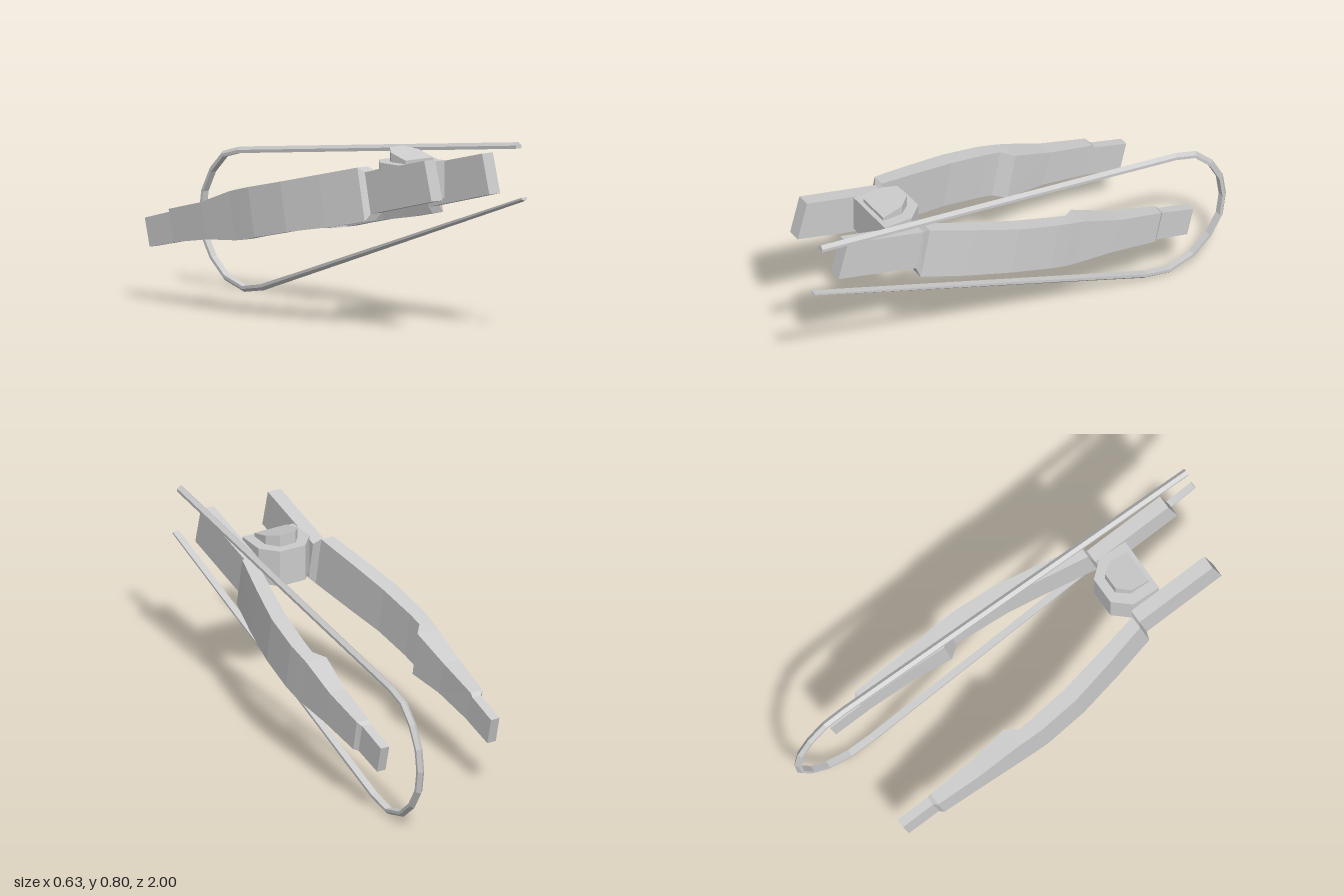
import * as THREE from 'three';

const material = new THREE.MeshStandardMaterial({ color: 0xcccccc, flatShading: true });

// Closed solid through a list of rings (each a list of [x, y, z] corners)
function loft(rings) {
  const tris = [];
  const n = rings[0].length;
  for (let i = 0; i < rings.length - 1; i++) {
    for (let j = 0; j < n; j++) {
      const k = (j + 1) % n;
      const a = rings[i][j], b = rings[i][k], c = rings[i + 1][k], d = rings[i + 1][j];
      tris.push([a, b, c], [a, c, d]);
    }
  }
  const first = rings[0], last = rings[rings.length - 1];
  for (let j = 1; j < n - 1; j++) {
    tris.push([first[0], first[j + 1], first[j]], [last[0], last[j], last[j + 1]]);
  }
  // Turn the faces outward if the rings run the other way
  const v = (p) => new THREE.Vector3(...p);
  const volume = tris.reduce((s, [a, b, c]) => s + v(a).dot(v(b).cross(v(c))), 0);
  if (volume < 0) tris.forEach((t) => t.reverse());
  const geometry = new THREE.BufferGeometry();
  geometry.setAttribute('position', new THREE.Float32BufferAttribute(tris.flat(2), 3));
  geometry.computeVertexNormals();
  return geometry;
}

function add(parent, name, geometry) {
  const mesh = new THREE.Mesh(geometry, material);
  mesh.name = name;
  parent.add(mesh);
  return mesh;
}

// Arm stations: top z, top y, bottom z, bottom y, inner x, outer x
const bar = [
  [0.82, 0.745, 0.865, 0.58, 0.13, 0.19],
  [0.455, 0.66, 0.492, 0.49, 0.13, 0.19],
];
const blade = [
  [0.44, 0.68, 0.485, 0.46, 0.16, 0.217],
  [0.25, 0.635, 0.295, 0.42, 0.198, 0.262],
  [0.06, 0.59, 0.1, 0.385, 0.233, 0.302],
  [-0.12, 0.55, -0.08, 0.345, 0.252, 0.317],
  [-0.19, 0.533, -0.15, 0.328, 0.256, 0.315],
  [-0.24, 0.52, -0.2, 0.32, 0.217, 0.313],
  [-0.42, 0.455, -0.38, 0.305, 0.235, 0.309],
  [-0.625, 0.405, -0.595, 0.27, 0.243, 0.3],
];
const tip = [
  [-0.64, 0.39, -0.61, 0.265, 0.243, 0.283],
  [-0.79, 0.35, -0.76, 0.232, 0.243, 0.283],
];

function armGeometry(side) {
  return loft([...bar, ...blade, ...tip].map(([zt, yt, zb, yb, xi, xo]) => [
    [side * xi, yt, zt], [side * xo, yt, zt], [side * xo, yb, zb], [side * xi, yb, zb],
  ]));
}

// Outer ridge line of the hoop: z, y
const hoopPath = [
  [0.96, 0.8], [-0.75, 0.603], [-0.85, 0.575], [-0.93, 0.498], [-0.98, 0.405], [-0.995, 0.305],
  [-0.98, 0.205], [-0.925, 0.115], [-0.84, 0.04], [-0.72, 0.003], [-0.6, 0.022], [1, 0.56],
];

// Strip with a ridged outside and a flat inside, thinner at its lower end
function hoopGeometry(x, halfWidth) {
  const last = hoopPath.length - 1;
  const direction = (a, b) => new THREE.Vector2(b[0] - a[0], b[1] - a[1]).normalize();
  return loft(hoopPath.map(([z, y], i) => {
    const before = direction(hoopPath[Math.max(i - 1, 0)], hoopPath[Math.max(i, 1)]);
    const after = direction(hoopPath[Math.min(i, last - 1)], hoopPath[Math.min(i + 1, last)]);
    const t = before.add(after).normalize();
    const depth = i === last ? 0.015 : 0.026;
    const at = (dx, d) => [x + dx, y + t.x * d, z - t.y * d];
    return [
      at(0, 0), at(halfWidth, depth / 2), at(halfWidth, depth),
      at(-halfWidth, depth), at(-halfWidth, depth / 2),
    ];
  }));
}

export function createModel() {
  const group = new THREE.Group();

  // Pair of mirrored arms
  add(group, 'leftArm', armGeometry(1));
  add(group, 'rightArm', armGeometry(-1));

  // Hub block with its back corners cut
  const hubPlan = [[-0.122, 0.6], [0.122, 0.6], [0.122, 0.47], [0.06, 0.4], [-0.06, 0.4], [-0.122, 0.47]];
  add(group, 'hub', loft([0.537, 0.695].map((y) => hubPlan.map(([x, z]) => [x, y, z]))));

  // Cap on the hub, its top rising toward the back
  const capPlan = [[-0.077, 0.58], [0.077, 0.58], [0.077, 0.49], [0.037, 0.44], [-0.037, 0.44], [-0.077, 0.49]];
  const capTop = (z) => 0.71 + (0.58 - z) * 0.27;
  add(group, 'hubCap', loft([
    capPlan.map(([x, z]) => [x, 0.69, z]),
    capPlan.map(([x, z]) => [x, capTop(z), z]),
  ]));

  // Long hoop beside the left arm
  add(group, 'hoop', hoopGeometry(0.205, 0.015));

  return group;
}
